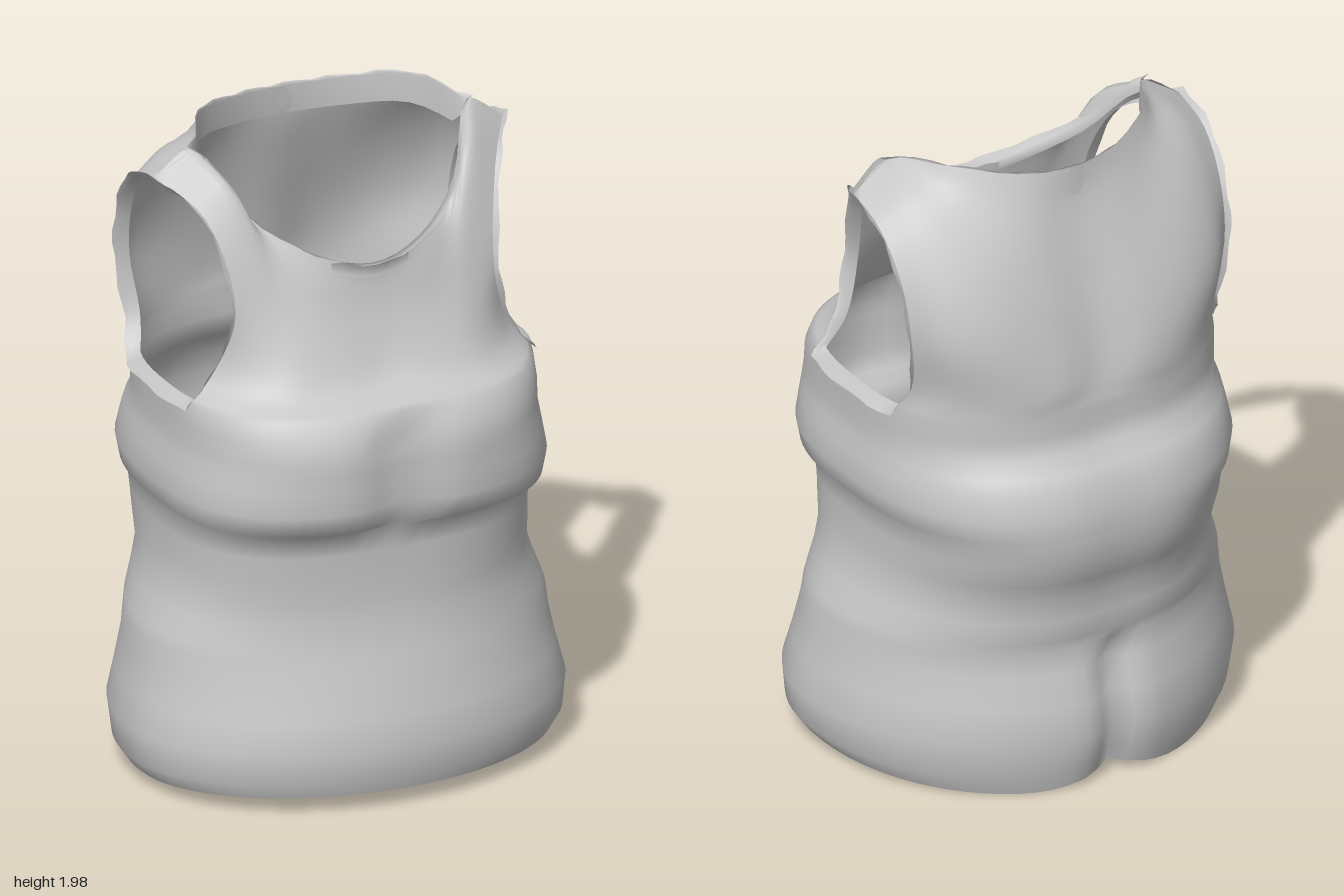
import * as THREE from 'three';
import { mergeGeometries, mergeVertices } from 'three/addons/utils/BufferGeometryUtils.js';

const STEP = Math.PI / 40; // 80 columns round the body, 32 in each panel
const V = (x, y, z) => new THREE.Vector3(x, y, z);
const bump = (v, r) => Math.exp(-((v / r) ** 2));

// Body levels from hem to underarm: y, half width, front depth, back depth
const LEVELS = [
  [0.05, 0.64, 0.57, 0.53], [0.1, 0.675, 0.585, 0.545], [0.2, 0.685, 0.6, 0.57],
  [0.3, 0.66, 0.575, 0.55], [0.4, 0.64, 0.55, 0.525], [0.47, 0.633, 0.53, 0.51],
  [0.51, 0.62, 0.52, 0.53], [0.58, 0.59, 0.505, 0.535], [0.65, 0.565, 0.5, 0.535],
  [0.72, 0.56, 0.5, 0.565], [0.8, 0.555, 0.5, 0.597], [0.87, 0.56, 0.505, 0.6],
  [0.895, 0.585, 0.57, 0.6], [0.96, 0.598, 0.58, 0.6], [1.03, 0.585, 0.58, 0.575],
  [1.08, 0.575, 0.58, 0.55], [1.12, 0.568, 0.58, 0.495], [1.18, 0.57, 0.57, 0.485],
  [1.24, 0.57, 0.53, 0.485],
];

// Control points of the upper panels, from the middle out to the arm edge
const FRONT = [
  [[0, 1.3, 0.42], [0.15, 1.3, 0.425], [0.3, 1.3, 0.405], [0.4, 1.31, 0.335], [0.475, 1.33, 0.235]],
  [[0, 1.45, 0.35], [0.15, 1.46, 0.345], [0.27, 1.47, 0.325], [0.35, 1.49, 0.295], [0.415, 1.52, 0.265]],
  [[0, 1.57, 0.32], [0.16, 1.6, 0.3], [0.29, 1.69, 0.235], [0.385, 1.86, 0.165], [0.465, 1.79, 0.165]],
  [[0, 1.63, 0.32], [0.17, 1.67, 0.275], [0.33, 1.78, 0.165], [0.44, 1.955, 0.02], [0.56, 1.88, 0.01]],
];
const BACK = [
  [[0, 1.32, -0.46], [0.15, 1.32, -0.475], [0.3, 1.32, -0.44], [0.43, 1.33, -0.36], [0.52, 1.34, -0.24]],
  [[0, 1.5, -0.415], [0.16, 1.5, -0.435], [0.33, 1.5, -0.42], [0.46, 1.51, -0.36], [0.54, 1.52, -0.27]],
  [[0, 1.68, -0.36], [0.16, 1.69, -0.37], [0.33, 1.7, -0.35], [0.46, 1.7, -0.3], [0.55, 1.69, -0.235]],
  [[0, 1.85, -0.31], [0.16, 1.86, -0.305], [0.32, 1.88, -0.24], [0.46, 1.89, -0.16], [0.56, 1.83, -0.13]],
  [[0, 1.95, -0.3], [0.17, 1.96, -0.265], [0.34, 1.985, -0.15], [0.44, 1.955, 0.02], [0.56, 1.88, 0.01]],
];

// One point of the body ring: an oval, widest ahead of the middle and squarer
// towards the chest, with cleft, crease and hem dip
function ringPoint([y, w, front, back], a) {
  const s = Math.sin(a), c = Math.cos(a);
  const square = THREE.MathUtils.smoothstep(y, 0.4, 0.9);
  const e = 1 - (c > 0 ? 0.27 : 0.17) * square;
  const power = (v) => Math.sign(v) * Math.abs(v) ** e;
  const middle = 0.11 - 0.08 * y;
  const x = w * power(s);
  let z = middle + (c > 0 ? front - middle : back + middle) * power(c);
  if (c > 0 && y > 0.88 && y < 1.2) z *= 1 - 0.08 * bump(x, 0.1);
  if (c < 0) z *= 1 - (y < 0.42 ? 0.1 * bump(x, 0.05) : 0.02 * bump(x, 0.12));
  const hem = c > 0 ? 0.02 * c : 0.055 * c * (1 - bump(x, 0.15));
  return V(x, y + hem * Math.max(0, 1 - y / 0.25), z);
}

// Skin over rows of points
function skin(rows, closed = false) {
  const n = rows[0].length, index = [];
  for (let j = 0; j < rows.length - 1; j++) {
    for (let i = 0; i < (closed ? n : n - 1); i++) {
      const a = j * n + i, b = j * n + (i + 1) % n;
      index.push(a, b, b + n, a, b + n, a + n);
    }
  }
  const g = new THREE.BufferGeometry().setFromPoints(rows.flat());
  g.setIndex(index);
  return g;
}

// Rows of a panel, starting exactly on the body's top ring
function panelRows(start, controls, side) {
  const first = [];
  for (let i = 0; i <= 32; i++) first.push(ringPoint(LEVELS[LEVELS.length - 1], start + i * STEP));
  const rows = [first, ...controls.map((half) => {
    const right = half.map(([x, y, z]) => V(x * side, y, z));
    const left = half.slice(1).reverse().map(([x, y, z]) => V(-x * side, y, z));
    return new THREE.CatmullRomCurve3([...left, ...right]).getPoints(32);
  })];
  const columns = first.map((_, i) => new THREE.CatmullRomCurve3(rows.map((r) => r[i])).getPoints(20));
  return columns[0].map((_, j) => columns.map((col) => col[j]));
}

export function createModel() {
  const group = new THREE.Group();
  const fabric = new THREE.MeshStandardMaterial({ color: 0xc6c6c6, side: THREE.DoubleSide });
  fabric.name = 'grey fabric';
  const add = (name, geometry) => {
    geometry.computeVertexNormals();
    const mesh = new THREE.Mesh(geometry, fabric);
    mesh.name = name;
    group.add(mesh);
  };

  // Body, chest panel, back panel and shoulder straps as one smooth cloth
  const body = LEVELS.map((l) => Array.from({ length: 80 }, (_, i) => ringPoint(l, i * STEP)));
  const front = panelRows(-16 * STEP, FRONT, 1);
  const back = panelRows(24 * STEP, BACK, -1);
  add('topCloth', mergeVertices(mergeGeometries([skin(body, true), skin(front), skin(back)]), 1e-3));

  // Neck trim: lip outside, fold inside that is deeper at the back
  const top = front.length - 1;
  const neck = [...front[top].slice(4, 29), ...back[top].slice(4, 29)];
  const lip = neck.map((p, i) => {
    const k = p.z > 0 ? 0.11 : 0.02;
    return V(p.x * (1 + k * 0.4), p.y + 0.008 + 0.004 * Math.sin(i * 2.1), p.z * (1 + k));
  });
  const fold = neck.map((p) => V(p.x * 0.99, p.y - (p.z > 0 ? 0.04 : 0.09), p.z * 1.03));
  add('neckTrim', skin([fold, neck, lip], true));

  // Armhole trims, mirrored: flared outside, folded under the strap inside
  for (const side of [1, -1]) {
    const f = front.map((r) => r[side > 0 ? 32 : 0]);
    const b = back.map((r) => r[side > 0 ? 0 : 32]);
    const under = [];
    for (let i = 23; i > 16; i--) under.push(ringPoint(LEVELS[LEVELS.length - 1], side * i * STEP));
    const hole = [...f, ...b.reverse().slice(1), ...under];
    const flare = hole.map((p, i) => V(p.x + side * (0.015 + 0.005 * Math.sin(i * 1.7)),
      p.y + (p.y - 1.53) * 0.04, p.z * 1.03));
    const inner = hole.map((p) => V(p.x - side * 0.03, Math.min(p.y + (1.53 - p.y) * 0.03, 1.83), p.z * 0.98));
    add(side > 0 ? 'leftArmholeTrim' : 'rightArmholeTrim', skin([inner, hole, flare], true));
  }
  return group;
}
